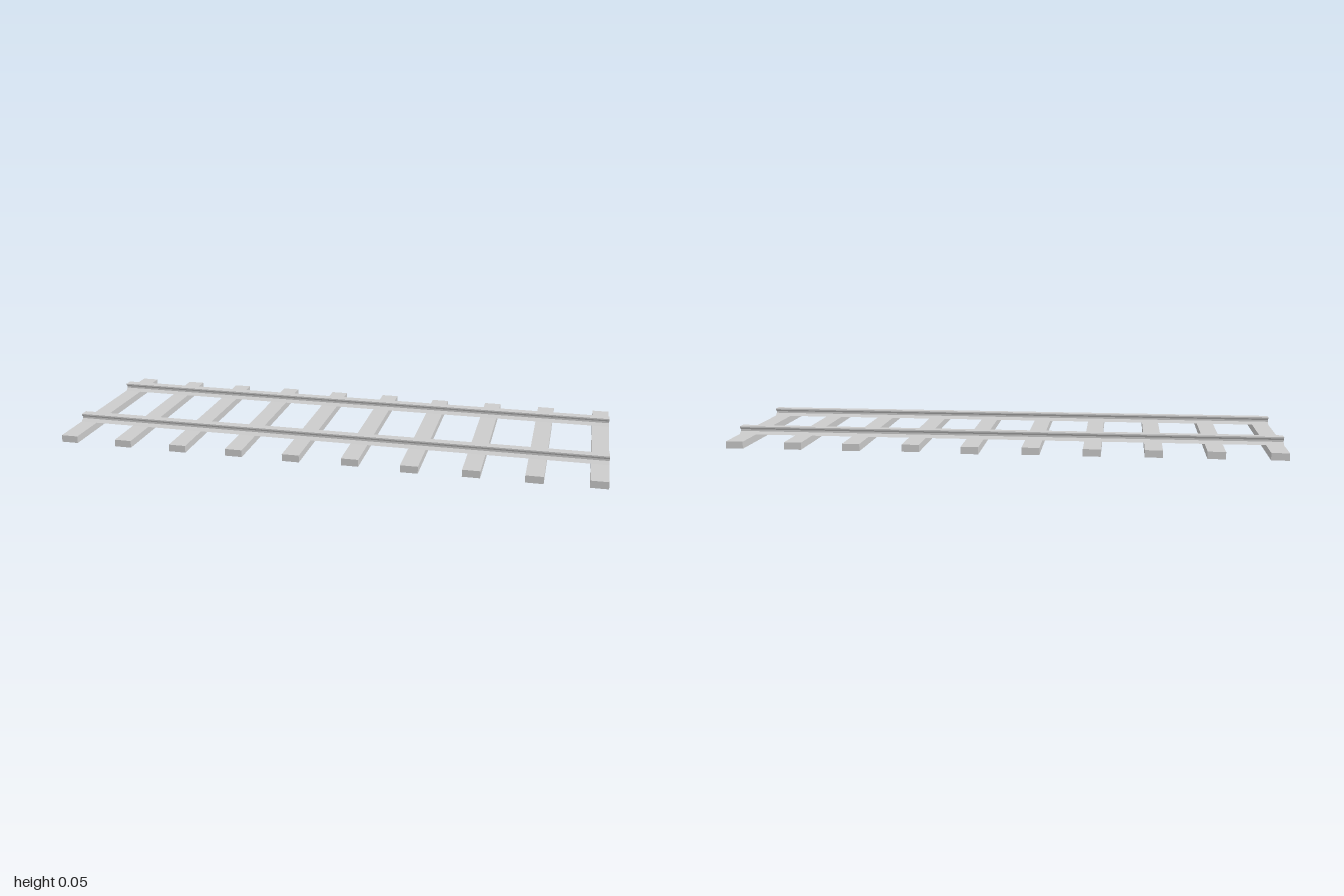
import * as THREE from 'three';

const material = new THREE.MeshStandardMaterial({ color: 0xcccccc, flatShading: true });

const TIE = { width: 0.063, height: 0.026, length: 0.755 };
// Slight sideways shift of each tie along z
const TIE_SHIFTS = [0, 0, 0.002, -0.003, 0, -0.008, 0.008, 0, 0.002, -0.002];

// Half of the rail section, from foot to head: [half width, height]
const RAIL_HALF = [
  [0.024, 0.026], [0.01, 0.036], [0.01, 0.043], [0.017, 0.05], [0.017, 0.055],
];

// Rail extruded along x from a mirrored section
function createRail(name, z) {
  const right = RAIL_HALF.map(([w, y]) => new THREE.Vector2(w, y));
  const left = RAIL_HALF.map(([w, y]) => new THREE.Vector2(-w, y)).reverse();
  const geometry = new THREE.ExtrudeGeometry(new THREE.Shape([...right, ...left]), {
    depth: 2, bevelEnabled: false,
  });
  geometry.translate(0, 0, -1).rotateY(Math.PI / 2);
  const rail = new THREE.Mesh(geometry, material);
  rail.name = name;
  rail.position.z = z;
  return rail;
}

export function createModel() {
  const track = new THREE.Group();
  track.name = 'railwayTrack';

  // Evenly spaced cross ties
  const ties = new THREE.Group();
  ties.name = 'ties';
  const tieGeometry = new THREE.BoxGeometry(TIE.width, TIE.height, TIE.length);
  const spacing = (2 - TIE.width) / (TIE_SHIFTS.length - 1);
  TIE_SHIFTS.forEach((shift, i) => {
    const tie = new THREE.Mesh(tieGeometry, material);
    tie.name = `tie${i + 1}`;
    tie.position.set(-1 + TIE.width / 2 + i * spacing, TIE.height / 2, shift);
    ties.add(tie);
  });
  track.add(ties);

  // The two rails
  track.add(createRail('frontRail', 0.193), createRail('backRail', -0.217));
  return track;
}
